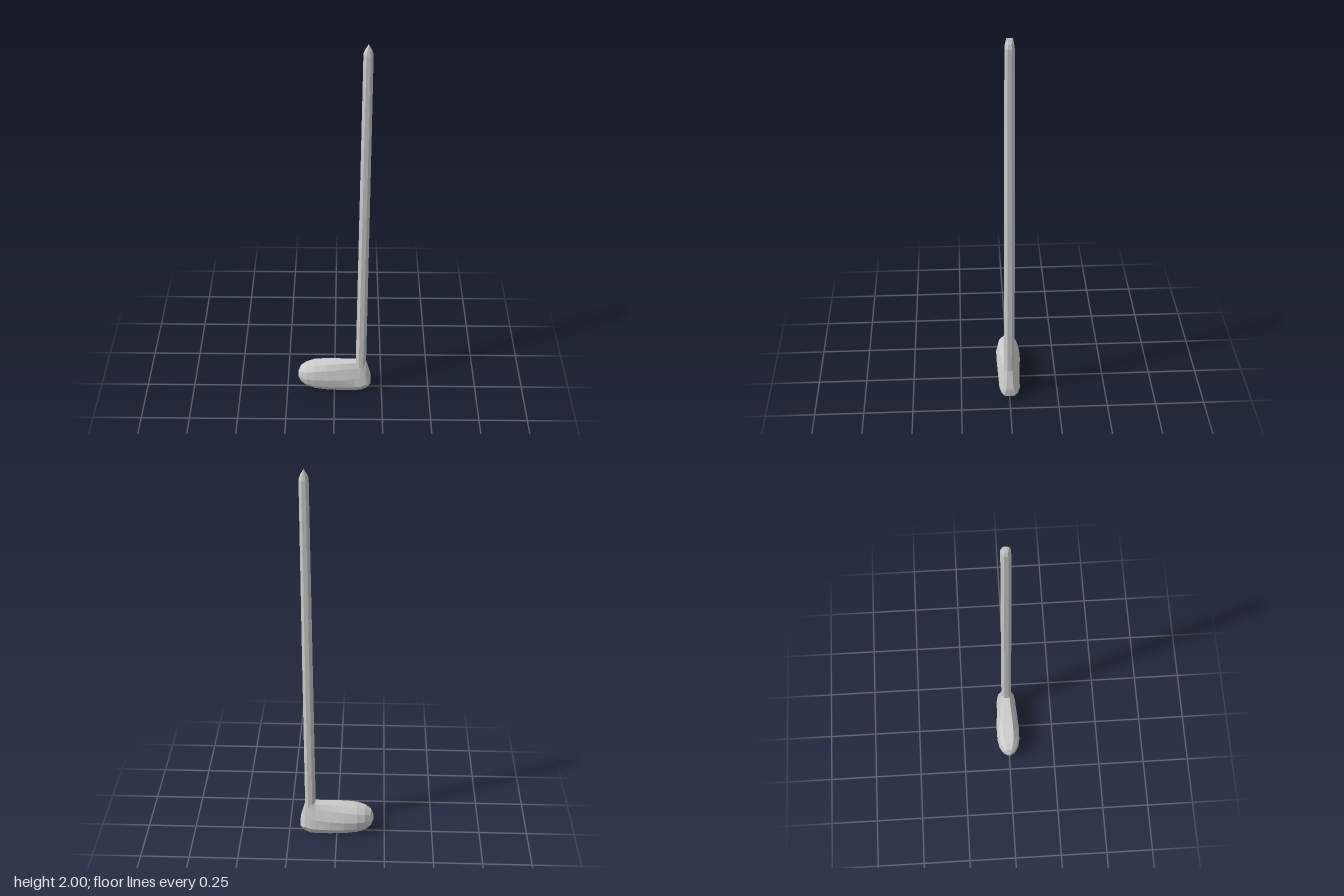
import * as THREE from 'three';

const material = new THREE.MeshStandardMaterial({ color: 0xcccccc, flatShading: true });

// Joins rings of points (counter-clockwise about the loft axis) and closes both ends.
function loft(name, rings) {
  const pos = [];
  const tri = (...points) => points.forEach((p) => pos.push(p.x, p.y, p.z));
  const centre = (ring) =>
    ring.reduce((sum, p) => sum.add(p), new THREE.Vector3()).divideScalar(ring.length);
  const n = rings[0].length;
  const last = rings[rings.length - 1];
  const start = centre(rings[0]);
  const end = centre(last);
  for (let j = 0; j < n; j++) {
    const k = (j + 1) % n;
    for (let i = 0; i < rings.length - 1; i++) {
      const a = rings[i], b = rings[i + 1];
      tri(a[j], a[k], b[k]);
      tri(a[j], b[k], b[j]);
    }
    tri(start, rings[0][k], rings[0][j]);
    tri(end, last[j], last[k]);
  }
  const geometry = new THREE.BufferGeometry();
  geometry.setAttribute('position', new THREE.Float32BufferAttribute(pos, 3));
  geometry.computeVertexNormals();
  const mesh = new THREE.Mesh(geometry, material);
  mesh.name = name;
  return mesh;
}

// Head cross-section: mirrored half profile from the crown down to the sole.
function headRing([x, bottom, top, low, mid, shoulder, crown]) {
  const h = top - bottom;
  const half = [
    [crown, top],
    [shoulder, bottom + h * 0.84],
    [mid, bottom + h * 0.52],
    [low, bottom + h * 0.22],
    [low * 0.6, bottom],
  ];
  const front = half.map(([z, y]) => new THREE.Vector3(x, y, z));
  const back = half.map(([z, y]) => new THREE.Vector3(x, y, -z * 1.04)).reverse();
  return [...front, ...back];
}

// Eight-sided shaft ring.
function shaftRing([y, x, rx, rz]) {
  return Array.from({ length: 8 }, (_, i) => {
    const a = ((i + 0.5) / 8) * Math.PI * 2;
    const s = 1 / Math.cos(Math.PI / 8);
    return new THREE.Vector3(x + Math.sin(a) * rx * s, y, 0.001 + Math.cos(a) * rz * s);
  });
}

export function createModel() {
  const group = new THREE.Group();
  group.name = 'golfClub';

  // Head, toe to heel: x, bottom, top, then half-widths low, mid, shoulder, crown
  const head = [
    [-0.192, 0.075, 0.105, 0.008, 0.01, 0.008, 0.004],
    [-0.177, 0.048, 0.138, 0.028, 0.034, 0.028, 0.014],
    [-0.148, 0.028, 0.156, 0.044, 0.051, 0.042, 0.022],
    [-0.105, 0.015, 0.168, 0.053, 0.06, 0.049, 0.028],
    [-0.04, 0.006, 0.175, 0.056, 0.061, 0.047, 0.027],
    [0.04, 0.002, 0.178, 0.055, 0.056, 0.038, 0.022],
    [0.11, 0.002, 0.182, 0.053, 0.046, 0.03, 0.018],
    [0.138, 0.004, 0.184, 0.052, 0.042, 0.029, 0.024],
    [0.165, 0.014, 0.182, 0.046, 0.036, 0.023, 0.014],
    [0.178, 0.022, 0.13, 0.042, 0.033, 0.022, 0.015],
    [0.191, 0.036, 0.078, 0.025, 0.024, 0.022, 0.018],
  ];
  group.add(loft('head', head.map(headRing)));

  // Shaft, tapering to a wedge tip: y, centre x, half-width x, half-width z
  const shaft = [
    [0.12, 0.14, 0.03, 0.029],
    [0.18, 0.139, 0.027, 0.027],
    [1.0, 0.143, 0.025, 0.025],
    [1.955, 0.147, 0.022, 0.022],
    [1.975, 0.147, 0.016, 0.019],
    [2.0, 0.147, 0.001, 0.014],
  ];
  group.add(loft('shaft', shaft.map(shaftRing)));

  return group;
}
